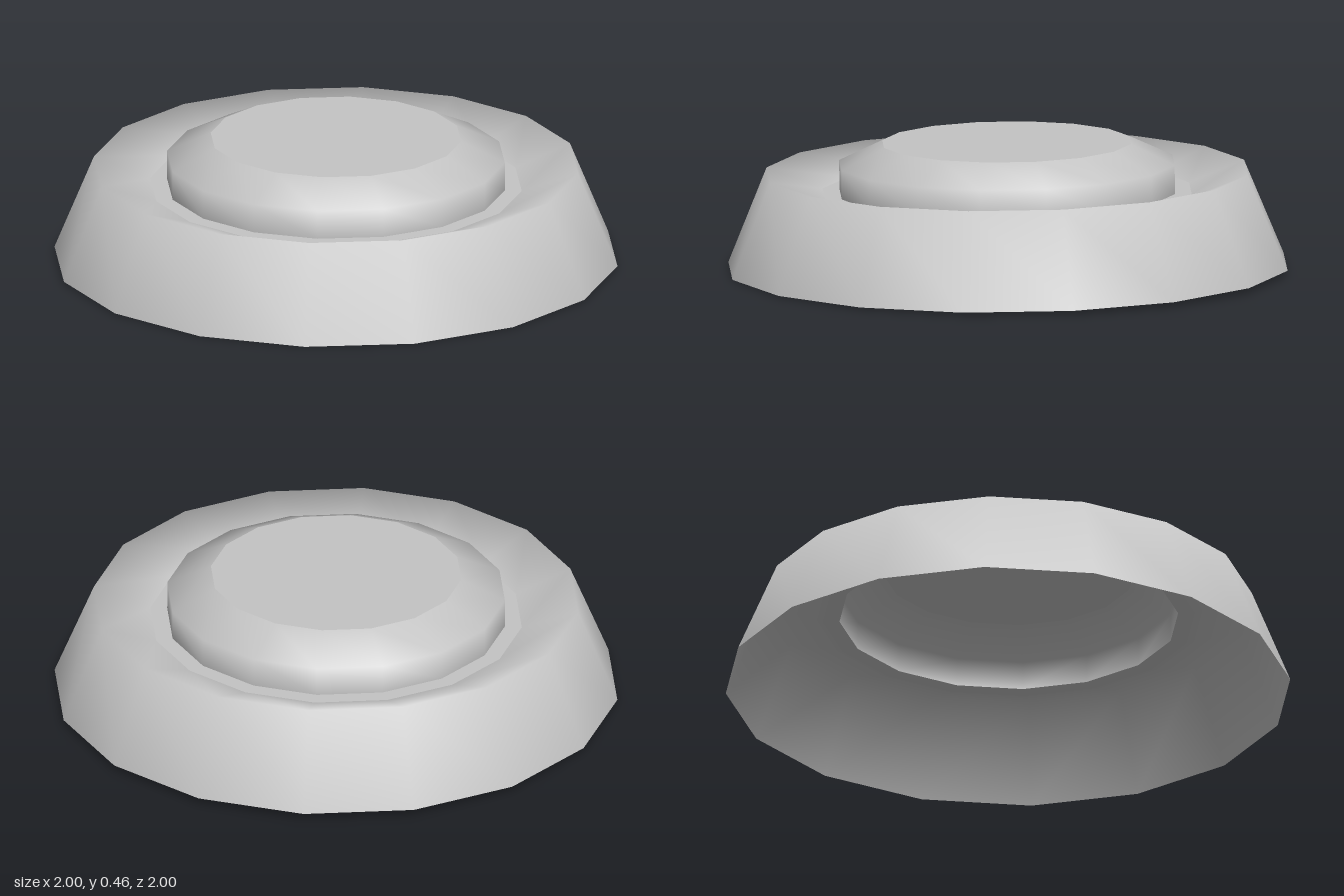
import * as THREE from 'three';

const SIDES = 16;
const TWIST = THREE.MathUtils.degToRad(-1.6);

export function createModel() {
  const grey = new THREE.MeshStandardMaterial({ color: 0xc4c4c4, side: THREE.DoubleSide });
  grey.name = 'plain grey';

  const model = new THREE.Group();
  model.name = 'steppedRing';

  // Revolve an open profile of [radius, height] pairs, running outside to inside
  const revolve = (name, profile) => {
    const points = profile.map(([r, y]) => new THREE.Vector2(r, y));
    const mesh = new THREE.Mesh(
      new THREE.LatheGeometry(points, SIDES, TWIST, Math.PI * 2), grey);
    mesh.name = name;
    model.add(mesh);
  };

  // Sloping outer wall rolling over the rim into the hollow
  revolve('outerWallAndRim', [[1, 0.012], [0.86, 0.352], [0.66, 0.28]]);
  // Flat floor of the hollow
  revolve('hollowFloor', [[0.66, 0.28], [0.6, 0.28]]);
  // Raised centre: upright step and bevelled shoulder
  revolve('centreShoulder', [[0.6, 0.28], [0.6, 0.383], [0.445, 0.457]]);
  // Flat top
  revolve('centreCap', [[0.445, 0.457], [0, 0.457]]);

  // The whole piece leans very slightly
  model.rotation.set(0.0075, 0, 0.0075);
  return model;
}
